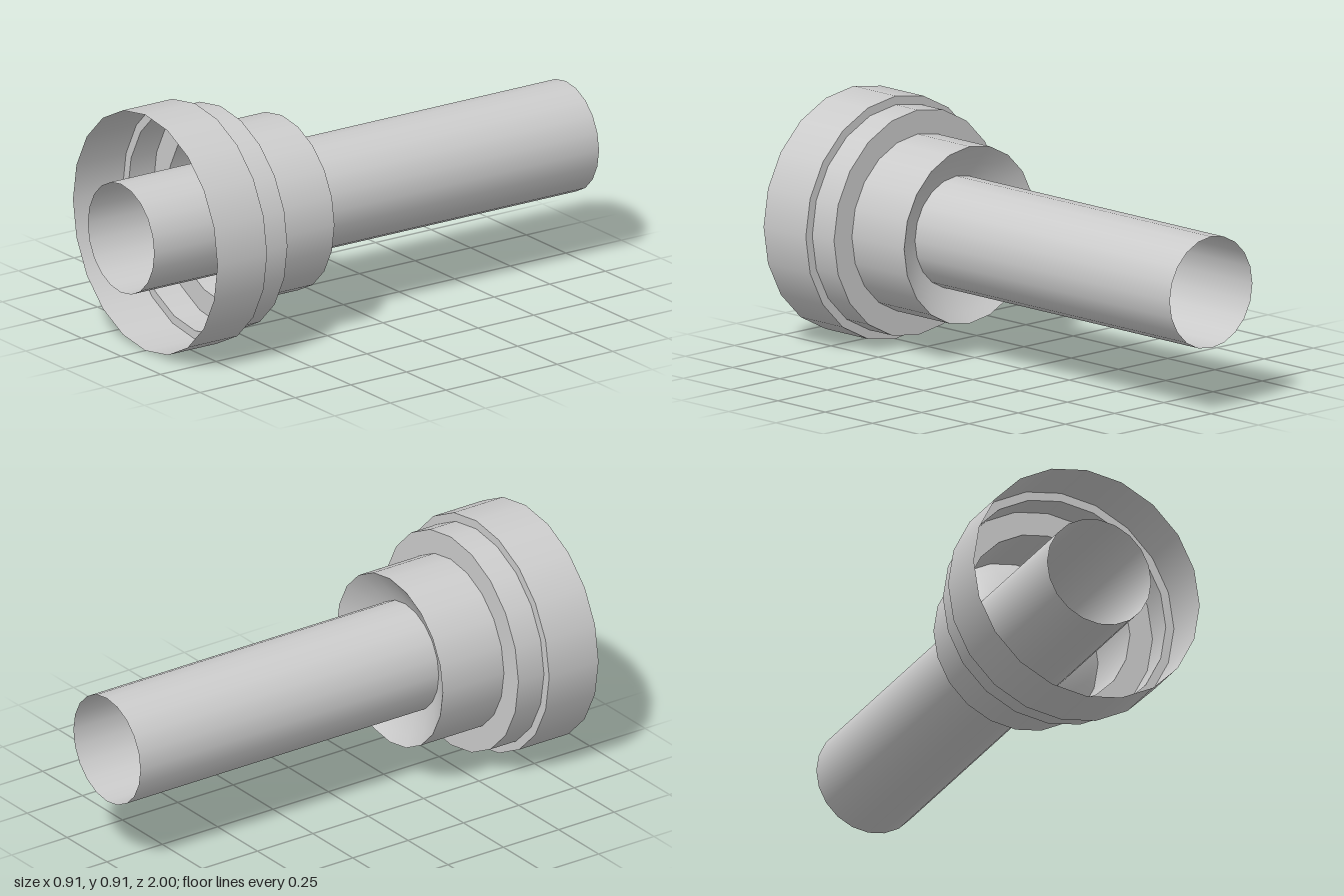
import * as THREE from 'three';

const SIDES = 20;
const AXIS_Y = 0.458;

export function createModel() {
  const model = new THREE.Group();
  const material = new THREE.MeshStandardMaterial({ color: 0xcccccc, side: THREE.DoubleSide });

  const add = (name, geometry, z) => {
    const mesh = new THREE.Mesh(geometry, material);
    mesh.name = name;
    mesh.position.set(0, AXIS_Y, z);
    model.add(mesh);
  };

  // Open-ended sleeve along z
  const sleeve = (name, radius, back, front) => {
    const geometry = new THREE.CylinderGeometry(radius, radius, front - back, SIDES, 1, true);
    add(name, geometry.rotateX(Math.PI / 2), (back + front) / 2);
  };

  // Flat shoulder joining two sleeves, facing the back
  const shoulder = (name, inner, outer, z) =>
    add(name, new THREE.RingGeometry(inner, outer, SIDES).rotateY(Math.PI), z);

  // Long tube running through the housing
  sleeve('tube', 0.21, -1, 1);

  // Stepped housing, open at the front
  sleeve('rearHousing', 0.333, 0.277, 0.553);
  shoulder('rearShoulder', 0.333, 0.424, 0.553);
  sleeve('middleHousing', 0.424, 0.553, 0.668);
  shoulder('frontShoulder', 0.424, 0.457, 0.668);
  sleeve('frontHousing', 0.457, 0.668, 0.891);

  // Shallow dome closing the rear housing, bulging forward inside it
  const domeRadius = 0.55;
  const rimAngle = Math.asin(0.333 / domeRadius);
  const profile = [];
  for (let i = 0; i <= 8; i++) {
    const a = rimAngle * (1 - i / 8);
    profile.push(new THREE.Vector2(
      domeRadius * Math.sin(a),
      domeRadius * (Math.cos(a) - Math.cos(rimAngle))
    ));
  }
  add('innerDome', new THREE.LatheGeometry(profile, SIDES).rotateX(Math.PI / 2), 0.277);

  return model;
}
